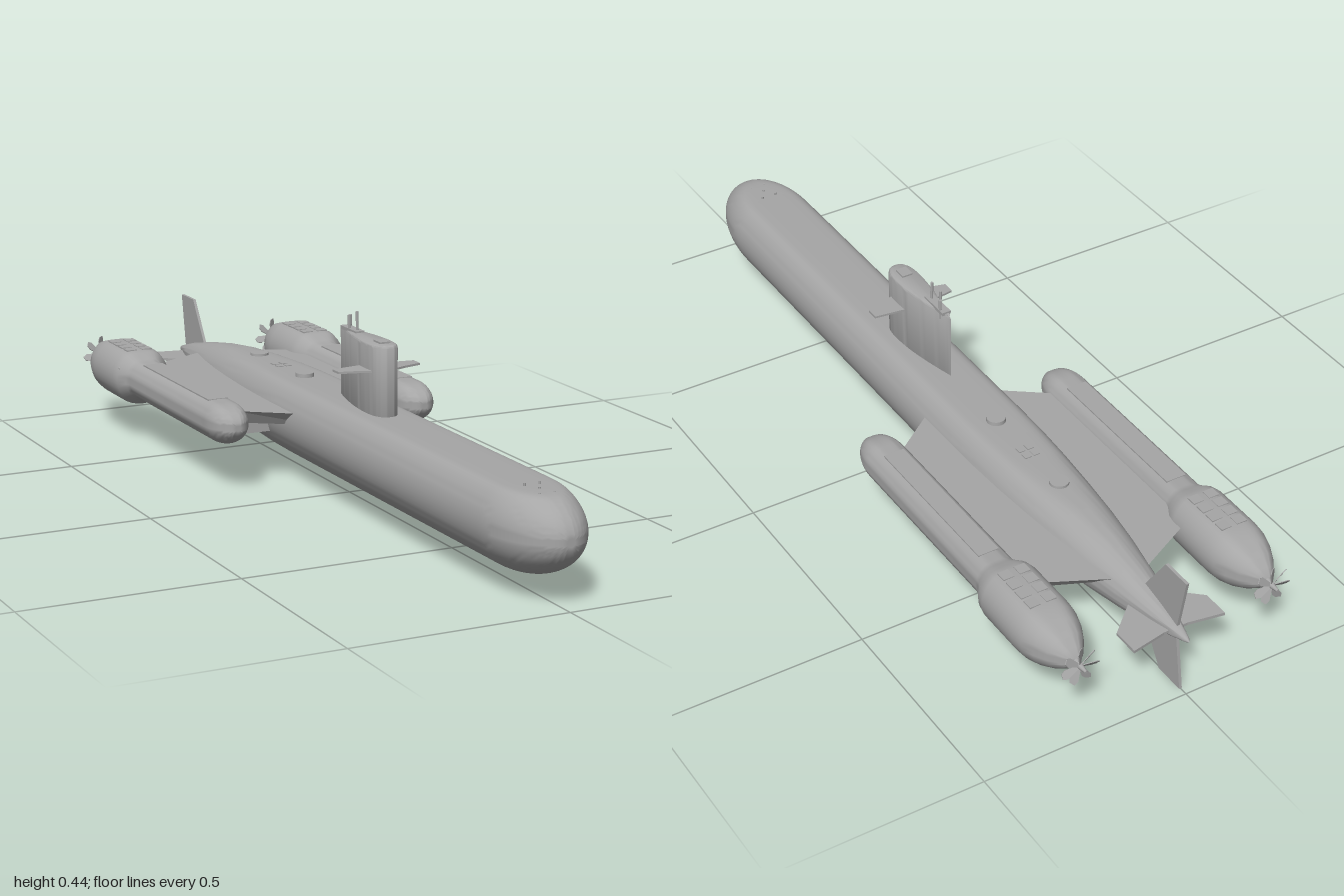
import * as THREE from 'three';
import { toCreasedNormals } from 'three/addons/utils/BufferGeometryUtils.js';

const grey = new THREE.MeshStandardMaterial({ color: 0xa6a6a6 });
grey.name = 'naval grey';

function add(parent, name, geometry, x = 0, y = 0, z = 0) {
  const mesh = new THREE.Mesh(geometry, grey);
  mesh.name = name;
  mesh.position.set(x, y, z);
  parent.add(mesh);
  return mesh;
}

// Body of revolution along z from [z, radius] pairs (stern to bow), its top softly flattened.
function spindle(profile, segments, limit) {
  const points = profile.map(([z, r]) => new THREE.Vector2(r, z));
  const g = new THREE.LatheGeometry(points, segments);
  const p = g.attributes.position;
  const c = new THREE.Vector3();
  g.rotateX(Math.PI / 2);
  for (let i = 0; i < p.count; i++) {
    c.fromBufferAttribute(p, i);
    const soft = 0.14 * limit(Math.hypot(c.x, c.y));
    const knee = limit(Math.hypot(c.x, c.y)) - soft;
    if (c.y > knee) p.setY(i, knee + soft * Math.tanh((c.y - knee) / soft));
  }
  return toCreasedNormals(g, 0.7);
}

// Quarter-ellipse nose points, ending on the axis.
function nose(zStart, zEnd, radius, steps = 12) {
  return Array.from({ length: steps + 1 }, (_, i) => {
    const a = (i / steps) * Math.PI / 2;
    return [zStart + (zEnd - zStart) * Math.sin(a), radius * Math.max(Math.cos(a), 0.0001)];
  });
}

function outline(points) {
  return new THREE.Shape(points.map(([a, b]) => new THREE.Vector2(a, b)));
}

// Flat plate lying in x-z, centred on y = 0.
function flatPlate(points, thickness) {
  const g = new THREE.ExtrudeGeometry(outline(points), { depth: thickness, bevelEnabled: false });
  return g.translate(0, 0, -thickness / 2).rotateX(Math.PI / 2);
}

// Upright plate from [z, y] points, centred on x = 0.
function uprightPlate(points, thickness) {
  const g = new THREE.ExtrudeGeometry(outline(points), { depth: thickness, bevelEnabled: false });
  return g.translate(0, 0, -thickness / 2).rotateY(-Math.PI / 2);
}

function createPropeller() {
  const propeller = new THREE.Group();
  propeller.name = 'propeller';
  const hub = new THREE.CylinderGeometry(0.011, 0.003, 0.045, 16).rotateX(Math.PI / 2);
  add(propeller, 'propellerHub', hub);
  const blade = outline([[-0.004, 0.006], [0.004, 0.006], [0.011, 0.036], [0.007, 0.046], [-0.005, 0.044], [-0.009, 0.034]]);
  for (let i = 0; i < 7; i++) {
    const g = new THREE.ExtrudeGeometry(blade, { depth: 0.002, bevelEnabled: false });
    g.translate(0, 0, -0.001).rotateY(0.6);
    add(propeller, 'propellerBlade', g).rotation.z = (i / 7) * Math.PI * 2;
  }
  return propeller;
}

function createPod(side) {
  const pod = new THREE.Group();
  pod.name = side > 0 ? 'leftPod' : 'rightPod';
  pod.position.set(side * 0.243, 0.16, 0);
  const profile = [
    [-0.945, 0.0001], [-0.94, 0.012], [-0.925, 0.028], [-0.9, 0.046], [-0.87, 0.061], [-0.84, 0.07], [-0.81, 0.073],
    [-0.69, 0.073], [-0.67, 0.069], [-0.645, 0.055], [-0.63, 0.051], ...nose(-0.17, -0.085, 0.051),
  ];
  add(pod, 'podHull', spindle(profile, 40, r => r * 0.89));

  // Vertical hatch covers in two rows
  for (const x of [-0.02, 0.02])
    for (let i = 0; i < 4; i++)
      add(pod, 'podHatch', new THREE.BoxGeometry(0.026, 0.008, 0.026), x, 0.062, -0.7 - i * 0.034);

  // Thin deck strip and a small sensor stud
  add(pod, 'podDeckStrip', new THREE.BoxGeometry(0.05, 0.004, 0.4), 0, 0.0445, -0.4);
  add(pod, 'podStud', new THREE.SphereGeometry(0.004, 8, 6), side * 0.06, 0.027, -0.67);

  const propeller = createPropeller();
  propeller.position.z = -0.955;
  pod.add(propeller);
  return pod;
}

// Platform joining hull and pod, undercut below, with cross struts under it
function createPylon(side) {
  const pylon = new THREE.Group();
  pylon.name = side > 0 ? 'leftPylon' : 'rightPylon';
  const g = flatPlate([[0.04, -0.05], [0.21, -0.175], [0.21, -0.7], [0.04, -0.785]].map(([x, z]) => [side * x, z]), 0.033);
  const p = g.attributes.position;
  for (let i = 0; i < p.count; i++)
    if (p.getY(i) < 0) p.setZ(i, -0.43 + (p.getZ(i) + 0.43) * 0.9);
  g.computeVertexNormals();
  add(pylon, 'platform', g, 0, 0.1615, 0);
  for (const z of [-0.26, -0.45, -0.64]) {
    const section = [[z + 0.03, 0.105], [z + 0.03, 0.15], [z - 0.045, 0.15], [z - 0.02, 0.105]];
    add(pylon, 'strut', uprightPlate(section, 0.16), side * 0.13);
  }
  return pylon;
}

function createSail() {
  const sail = new THREE.Group();
  sail.name = 'sail';
  const s = new THREE.Shape();
  s.moveTo(0, 0.21);
  s.bezierCurveTo(0.022, 0.21, 0.032, 0.19, 0.032, 0.15);
  s.bezierCurveTo(0.032, 0.08, 0.014, 0.01, 0, -0.045);
  s.bezierCurveTo(-0.014, 0.01, -0.032, 0.08, -0.032, 0.15);
  s.bezierCurveTo(-0.032, 0.19, -0.022, 0.21, 0, 0.21);
  const tower = new THREE.ExtrudeGeometry(s, {
    depth: 0.18, bevelThickness: 0.009, bevelSize: 0.008, bevelOffset: -0.008, bevelSegments: 4, curveSegments: 16,
  }).rotateX(Math.PI / 2);
  add(sail, 'sailTower', toCreasedNormals(tower, 0.7), 0, 0.381, 0);

  // Diving planes
  for (const side of [-1, 1]) {
    const pts = [[0.015, 0.18], [0.06, 0.163], [0.103, 0.152], [0.103, 0.122], [0.015, 0.11]].map(([x, z]) => [side * x, z]);
    add(sail, 'divingPlane', flatPlate(pts, 0.005), 0, 0.327, 0);
  }

  // Bridge hatch, mast base and masts
  add(sail, 'bridgeHatch', new THREE.BoxGeometry(0.026, 0.006, 0.032), 0, 0.391, 0.165);
  add(sail, 'mastBase', new THREE.BoxGeometry(0.022, 0.008, 0.08), 0, 0.39, 0.015);
  for (const [x, z, top] of [[0, 0.04, 0.437], [-0.008, 0.015, 0.425], [0.008, -0.01, 0.42]]) {
    add(sail, 'mast', new THREE.CylinderGeometry(0.0025, 0.003, top - 0.37, 10), x, (top + 0.37) / 2, z);
    add(sail, 'mastHead', new THREE.CylinderGeometry(0.0035, 0.0035, 0.022, 10), x, top - 0.011, z);
  }
  return sail;
}

export function createModel() {
  const model = new THREE.Group();
  model.name = 'submarine';

  // Main hull
  const hullProfile = [
    [-1, 0.0001], [-0.99, 0.006], [-0.95, 0.018], [-0.9, 0.032], [-0.8, 0.053], [-0.7, 0.07], [-0.6, 0.083],
    [-0.5, 0.092], [-0.4, 0.099], [-0.3, 0.1035], [-0.2, 0.105], ...nose(0.8, 1, 0.105, 18),
  ];
  add(model, 'hull', spindle(hullProfile, 64, () => 0.082), 0, 0.145, 0);

  // Deck hatches
  for (const [z, y] of [[-0.24, 0.227], [-0.5, 0.223]])
    add(model, 'deckHatch', new THREE.CylinderGeometry(0.022, 0.023, 0.018, 28), 0, y, z);
  for (const x of [-0.011, 0.011])
    for (const z of [-0.36, -0.385])
      add(model, 'deckCover', new THREE.BoxGeometry(0.016, 0.006, 0.018), x, 0.226, z);

  // Bow studs
  for (const [x, z, y] of [[0.018, 0.9, 0.22], [-0.018, 0.9, 0.22], [0.018, 0.84, 0.226], [-0.018, 0.84, 0.226], [0, 0.87, 0.223]])
    add(model, 'bowStud', new THREE.CylinderGeometry(0.003, 0.003, 0.014, 8), x, y, z);

  // Tail fins
  const upper = [[-0.83, 0.175], [-0.905, 0.29], [-0.98, 0.29], [-0.955, 0.145], [-0.86, 0.145]];
  const lower = [[-0.83, 0.115], [-0.905, 0], [-0.98, 0], [-0.955, 0.145], [-0.86, 0.145]];
  add(model, 'upperFin', uprightPlate(upper, 0.007));
  add(model, 'lowerFin', uprightPlate(lower, 0.007));

  for (const side of [-1, 1]) {
    const fin = [[0, -0.82], [0.035, -0.83], [0.115, -0.9], [0.115, -0.965], [0.03, -0.95], [0, -0.95]].map(([x, z]) => [side * x, z]);
    add(model, 'sternPlane', flatPlate(fin, 0.007), 0, 0.145, 0);
    model.add(createPod(side), createPylon(side));
  }

  model.add(createSail());
  return model;
}
